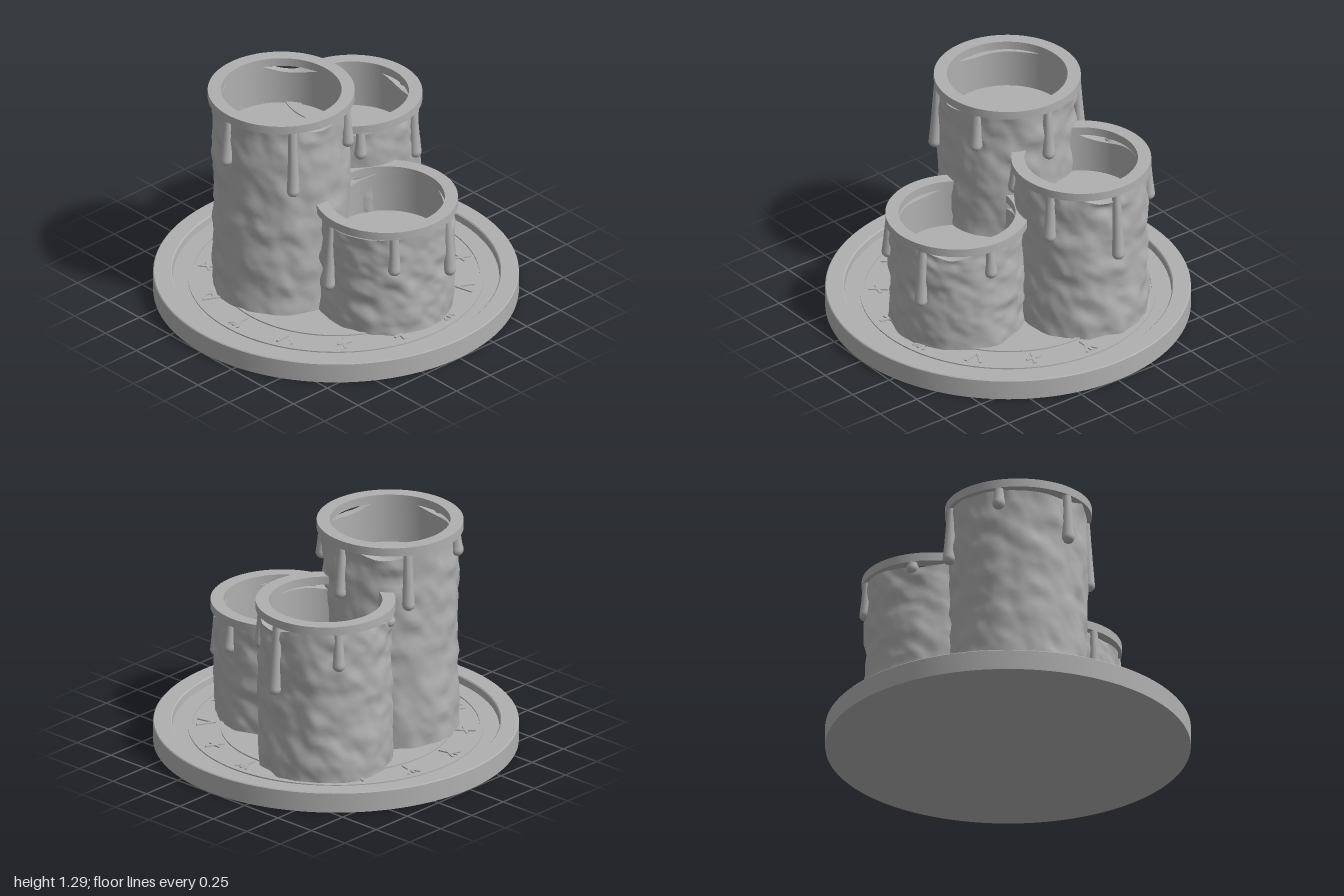
import * as THREE from 'three';
import { toCreasedNormals } from 'three/addons/utils/BufferGeometryUtils.js';

const wax = new THREE.MeshStandardMaterial({ color: 0xb0b0b0 });
wax.name = 'grey';

const FLOOR = 0.075;
const v2 = (p) => new THREE.Vector2(p[0], p[1]);

function add(parent, name, geometry) {
  const mesh = new THREE.Mesh(geometry, wax);
  mesh.name = name;
  parent.add(mesh);
  return mesh;
}

function lathe(points, segments = 96) {
  return toCreasedNormals(new THREE.LatheGeometry(points.map(v2), segments), 0.6);
}

// Flat band with a square cross-section
function band(inner, outer, y0, y1, segments = 96) {
  return lathe([[inner, y0], [outer, y0], [outer, y1], [inner, y1], [inner, y0]], segments);
}

// Smooth seeded value noise, -1 to 1
function hash(x, y, z) {
  const s = Math.sin(x * 127.1 + y * 311.7 + z * 74.7) * 43758.5453;
  return (s - Math.floor(s)) * 2 - 1;
}
function noise(x, y, z) {
  const c = [x, y, z].map(Math.floor);
  const f = [x - c[0], y - c[1], z - c[2]].map((t) => t * t * (3 - 2 * t));
  let sum = 0;
  for (let i = 0; i < 8; i++) {
    const d = [i & 1, (i >> 1) & 1, i >> 2];
    const w = d.reduce((a, on, k) => a * (on ? f[k] : 1 - f[k]), 1);
    sum += w * hash(c[0] + d[0], c[1] + d[1], c[2] + d[2]);
  }
  return sum;
}

// Lumpy hollow candle whose upper edge sags away from the rim in places
function candleBody(radius, inner, top, cup, seed) {
  const rows = 36;
  const points = [];
  for (let i = 0; i <= rows; i++) points.push([radius, FLOOR - 0.01 + (top - FLOOR + 0.01) * i / rows]);
  points.push([inner, top], [inner, cup], [0, cup]);
  const geometry = new THREE.LatheGeometry(points.map(v2), 110);
  const pos = geometry.attributes.position;
  for (let i = 0; i < pos.count; i++) {
    let x = pos.getX(i), y = pos.getY(i), z = pos.getZ(i);
    const r = Math.hypot(x, z);
    const angle = Math.atan2(x, z);
    const sag = Math.max(0, 0.4 + Math.sin(angle * 3 + seed) + 0.5 * Math.sin(angle * 5 + seed * 2)) * 0.024;
    if (r > inner + 0.01) {
      const n = noise(x * 10 + seed, y * 12, z * 10) * 0.014 + noise(x * 22, y * 24 + seed, z * 22) * 0.006;
      x *= 1 + n / r;
      z *= 1 + n / r;
    }
    if (r > inner - 0.01 && y > top - 0.12) y -= sag * (1 - (top - y) / 0.12);
    pos.setXYZ(i, x, y, z);
  }
  return toCreasedNormals(geometry, 0.9);
}

// Teardrop run of wax hanging from y = 0
function dripGeometry(length) {
  const points = [];
  for (let i = 0; i <= 6; i++) {
    const a = (i / 6) * Math.PI * 0.6;
    points.push([0.036 * Math.sin(a), -length + 0.036 - 0.036 * Math.cos(a)]);
  }
  points.push([0.029, -length * 0.55], [0.024, -0.03], [0.024, 0]);
  return lathe(points, 16);
}

// x, z, rim top, body radius, rim inner and outer radius, cup floor,
// and drips as [x, z, lower end] from the candle's axis
const candles = [
  { name: 'tallCandle', x: -0.243, z: -0.178, top: 1.29, r: 0.374, inner: 0.33, outer: 0.402, cup: 1.01, seed: 1.3,
    drips: [[-0.4, -0.02, 0.955], [-0.22, 0.34, 0.84], [0.18, 0.355, 1.01], [0.4, 0.01, 0.94], [0.22, -0.35, 0.91], [-0.19, -0.38, 1.12]] },
  { name: 'middleCandle', x: 0.343, z: -0.243, top: 1.017, r: 0.364, inner: 0.31, outer: 0.383, cup: 0.74, seed: 3.7,
    drips: [[0.23, -0.32, 0.745], [0.385, 0.03, 0.56], [0.165, 0.35, 0.68], [-0.22, 0.31, 0.8], [-0.38, -0.03, 0.8], [-0.17, -0.35, 0.9]] },
  { name: 'shortCandle', x: 0.032, z: 0.373, top: 0.74, r: 0.368, inner: 0.32, outer: 0.392, cup: 0.46, seed: 5.2,
    drips: [[-0.39, -0.05, 0.28], [-0.23, 0.32, 0.46], [0.15, 0.37, 0.34], [0.395, 0.05, 0.52], [0.22, -0.33, 0.5], [-0.18, -0.36, 0.5]] },
];

function buildCandle(c) {
  const group = new THREE.Group();
  group.name = c.name;
  group.position.set(c.x, 0, c.z);
  const rimBottom = c.top - 0.048;
  add(group, 'body', candleBody(c.r, c.inner, rimBottom + 0.004, c.cup, c.seed));
  add(group, 'rim', band(c.inner, c.outer, rimBottom, c.top));
  for (const [x, z, low] of c.drips) {
    const pivot = new THREE.Group();
    pivot.name = 'dripPivot';
    pivot.rotation.y = Math.atan2(x, z);
    const drip = add(pivot, 'drip', dripGeometry(c.top - 0.01 - low));
    drip.position.set(0, c.top - 0.01, c.outer - 0.026);
    drip.rotation.x = -0.05;
    group.add(pivot);
  }
  return group;
}

// Rune strokes as [x0, y0, x1, y1], with y pointing away from the plate's centre
const runes = {
  fork: [[0, -0.05, 0, 0.05], [0, 0, 0.035, 0.05], [0, 0, -0.035, 0.05]],
  cross: [[0, -0.05, 0, 0.05], [-0.035, -0.012, 0.035, 0.012]],
  angle: [[-0.04, 0.045, 0, -0.045], [0, -0.045, 0.04, 0.045]],
  loop: [[-0.025, -0.05, -0.025, 0.05], [-0.025, 0.05, 0.025, 0.03], [0.025, 0.03, 0.025, -0.01], [0.025, -0.01, -0.025, -0.01]],
};
const order = ['fork', 'cross', 'angle', 'fork', 'cross', 'cross', 'angle', 'fork', 'loop', 'cross', 'fork', 'fork', 'angle', 'cross'];

function buildRunes() {
  const group = new THREE.Group();
  group.name = 'runes';
  order.forEach((kind, i) => {
    const a = (i / order.length) * Math.PI * 2;
    const rune = new THREE.Group();
    rune.name = 'rune';
    rune.position.set(Math.cos(a) * 0.71, FLOOR + 0.003, Math.sin(a) * 0.71);
    rune.rotation.y = -a;
    for (const [x0, y0, x1, y1] of runes[kind]) {
      const length = Math.hypot(x1 - x0, y1 - y0) + 0.012;
      const stroke = add(rune, 'runeStroke', new THREE.BoxGeometry(length, 0.009, 0.016));
      stroke.position.set((y0 + y1) / 2, 0, (x0 + x1) / 2);
      stroke.rotation.y = -Math.atan2(x1 - x0, y1 - y0);
    }
    group.add(rune);
  });
  return group;
}

export function createModel() {
  const model = new THREE.Group();
  model.name = 'candlePlate';

  // Plate with a raised border and two thin rings around the runes
  add(model, 'plate', lathe([
    [0, 0], [1, 0], [1, 0.113], [0.995, 0.118], [0.903, 0.118], [0.897, 0.112], [0.893, FLOOR], [0, FLOOR],
  ], 128));
  add(model, 'outerRing', band(0.787, 0.81, FLOOR - 0.002, FLOOR + 0.007, 128));
  add(model, 'innerRing', band(0.613, 0.632, FLOOR - 0.002, FLOOR + 0.007, 128));
  model.add(buildRunes());

  for (const c of candles) model.add(buildCandle(c));
  return model;
}
